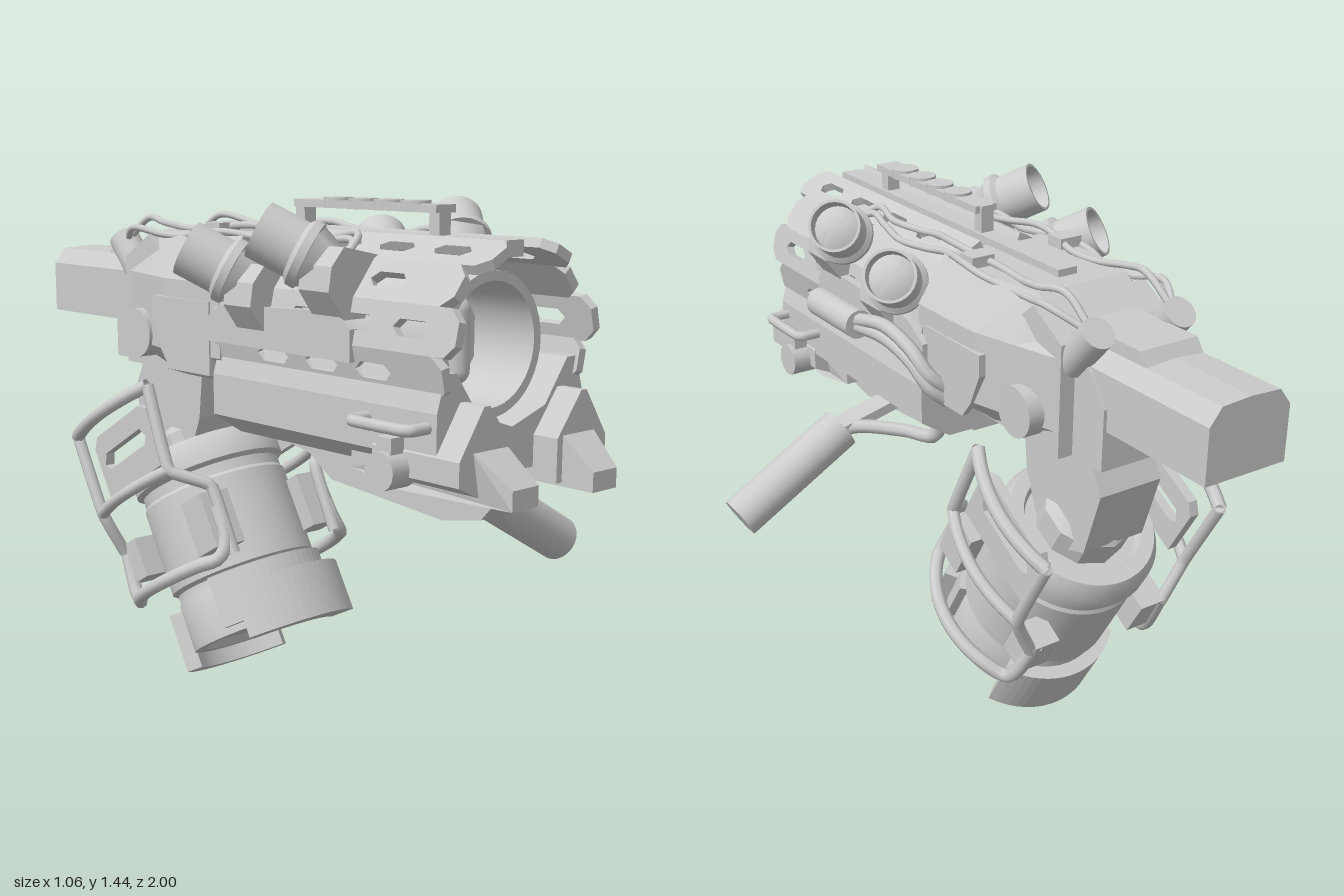
import * as THREE from 'three';
import { toCreasedNormals } from 'three/addons/utils/BufferGeometryUtils.js';

const V = (x, y, z) => new THREE.Vector3(x, y, z);
const mat = new THREE.MeshStandardMaterial({ color: 0xcccccc, side: THREE.DoubleSide });

const outline = pts => new THREE.Shape(pts.map(p => new THREE.Vector2(p[0], p[1])));
const symmetric = half => [...half, ...half.slice().reverse().filter(p => p[0] > 0).map(p => [-p[0], p[1]])];
const extrude = (shape, depth, steps = 1) => new THREE.ExtrudeGeometry(shape, { depth, steps, bevelEnabled: false, curveSegments: 10 });
// section in (x, y), run from z0 to z1
const alongZ = (pts, z0, z1, steps) => extrude(outline(pts), z1 - z0, steps).translate(0, 0, z0);
// side profile in (z, y), spanning x0 to x1
const alongX = (pts, x0, x1) => extrude(outline(pts), x1 - x0).rotateY(-Math.PI / 2).translate(x1, 0, 0);
const box = (w, h, d, x, y, z) => new THREE.BoxGeometry(w, h, d).translate(x, y, z);
const tube = (pts, r, seg = 24, tension = 0.5) =>
  new THREE.TubeGeometry(new THREE.CatmullRomCurve3(pts.map(p => V(...p)), false, 'catmullrom', tension), seg, r, 8);
const lathe = (pts, seg = 40) => toCreasedNormals(new THREE.LatheGeometry(pts.map(p => new THREE.Vector2(...p)), seg), 0.6);
// turn a +y geometry toward dir and move it to pos
const aim = (geo, dir, pos) => geo
  .applyQuaternion(new THREE.Quaternion().setFromUnitVectors(V(0, 1, 0), dir.clone().normalize()))
  .translate(pos.x, pos.y, pos.z);
const rod = (a, b, r, seg = 20) => {
  const d = b.clone().sub(a);
  return aim(new THREE.CylinderGeometry(r, r, d.length(), seg), d, a.clone().add(b).multiplyScalar(0.5));
};
const arcSlab = (r0, r1, mid, half, y0, y1) => {
  const s = new THREE.Shape();
  s.absarc(0, 0, r1, mid - half, mid + half, false);
  s.absarc(0, 0, r0, mid + half, mid - half, true);
  return extrude(s, y1 - y0).rotateX(-Math.PI / 2).translate(0, y0, 0);
};
// move every vertex by a rule
const reshape = (geo, rule) => {
  const p = geo.attributes.position;
  for (let i = 0; i < p.count; i++) p.setXYZ(i, ...rule(p.getX(i), p.getY(i), p.getZ(i)));
  geo.computeVertexNormals();
  return geo;
};

function mirrored(geo) {
  const g = (geo.index ? geo.toNonIndexed() : geo.clone()).scale(-1, 1, 1);
  for (const a of Object.values(g.attributes)) {
    const n = a.itemSize;
    for (let i = 0; i < a.count; i += 3) for (let k = 0; k < n; k++) {
      const p = (i + 1) * n + k, q = (i + 2) * n + k, t = a.array[p];
      a.array[p] = a.array[q]; a.array[q] = t;
    }
  }
  return g;
}

export function createModel() {
  const root = new THREE.Group();
  root.name = 'heavyLauncher';
  const body = new THREE.Group();
  body.name = 'body';
  body.position.x = -0.12;
  root.add(body);
  const add = (name, geo, parent = body) => {
    const m = new THREE.Mesh(geo, mat);
    m.name = name;
    parent.add(m);
  };
  const pair = (name, geo, parent) => { add(name + 'Left', geo, parent); add(name + 'Right', mirrored(geo), parent); };
  const axisY = 1.11;

  // slotted barrel shroud: four flat panels on each side
  [27, 52, 77, 102].forEach((deg, i) => {
    const a = THREE.MathUtils.degToRad(deg), front = i % 2 ? 0.84 : 0.88, w = 0.0577;
    const s = outline([[0, -w], [front - 0.03, -w], [front, -w + 0.03], [front, w - 0.03], [front - 0.03, w], [0, w]]);
    for (let z = 0.12 + (i % 2) * 0.06; z < front - 0.12; z += 0.185)
      s.holes.push(new THREE.Path([[0, 0], [0.02, -0.02], [0.1, -0.02], [0.12, 0], [0.1, 0.02], [0.02, 0.02]]
        .map(p => new THREE.Vector2(z + p[0], p[1]))));
    const R = V(Math.sin(a), Math.cos(a), 0), T = V(Math.cos(a), -Math.sin(a), 0);
    const m = new THREE.Matrix4().makeBasis(V(0, 0, 1), T, R).setPosition(R.x * 0.235, axisY + R.y * 0.235, 0);
    pair('shroudPanel' + i, extrude(s, 0.025).applyMatrix4(m));
  });

  // inner barrel, core and its long key
  add('innerBarrel', lathe([[0.155, 0], [0.18, 0], [0.18, 0.74], [0.155, 0.74], [0.155, 0]]).rotateX(Math.PI / 2).translate(0, axisY, 0.02));
  add('barrelCore', rod(V(0, axisY, 0), V(0, axisY, 0.56), 0.12, 32));
  add('coreKey', new THREE.CapsuleGeometry(0.036, 0.15, 6, 16).translate(0, axisY, 0.64));
  pair('coreCheek', alongZ([[0.03, 1.02], [0.06, 1.02], [0.09, 1.06], [0.09, 1.16], [0.06, 1.21], [0.03, 1.21]], 0.5, 0.62));

  // lower fore body with a trough, chamfered skirts and front prongs
  add('foreBody', alongZ(symmetric([[0, 0.81], [0.17, 0.81], [0.262, 0.87], [0.262, 0.98], [0.235, 1.07], [0.2, 1.07], [0.12, 0.96], [0, 0.92]]), 0, 0.83));
  pair('prongRoot', alongZ([[0.08, 0.78], [0.18, 0.78], [0.265, 0.82], [0.265, 0.88], [0.185, 1], [0.165, 1], [0.08, 0.89]], 0.62, 0.905));
  pair('prongTip', reshape(alongX([[0.5, 0.8], [0.66, 0.77], [1, 0.77], [1, 0.82], [0.9, 0.9], [0.5, 0.9]], 0.1, 0.22),
    (x, y, z) => [z > 0.95 && x > 0.15 ? 0.19 : x, y, z]));
  add('chinBlock', box(0.08, 0.13, 0.1, 0, 0.74, 0.66));
  add('underFin', alongX([[0.83, 0.735], [0.79, 0.69], [0.66, 0.665], [0.25, 0.7], [0.16, 0.76], [0.04, 0.78], [0.04, 0.82], [0.75, 0.82], [0.75, 0.735]], -0.06, 0.06));

  // side grip on a curved strap
  add('gripStrap', tube([[0.08, 0.8, 0.06], [0.09, 0.78, 0.15], [0.1, 0.71, 0.2], [0.13, 0.69, 0.32], [0.22, 0.68, 0.44], [0.29, 0.655, 0.48]], 0.022));
  add('gripArm', box(0.27, 0.03, 0.08, 0, 0, 0).rotateZ(-0.24).translate(0.16, 0.7, 0.48));
  add('sideGrip', rod(V(0.26, 0.67, 0.48), V(0.62, 0.46, 0.48), 0.065, 32));

  // guard rails and knobs on the fore body
  pair('guardRail', tube([[0.22, 0.945, 0.8], [0.31, 0.945, 0.8], [0.325, 0.945, 0.78], [0.325, 0.945, 0.62], [0.31, 0.945, 0.6], [0.24, 0.945, 0.6]], 0.015, 30, 0.2));
  pair('sideKnob', rod(V(0.24, 0.835, 0.7), V(0.32, 0.835, 0.7), 0.048, 16));
  pair('knobStem', box(0.05, 0.07, 0.05, 0.28, 0.88, 0.7));

  // receiver, narrowing to the rear
  add('receiver', reshape(alongZ(symmetric([[0, 0.94], [0.17, 0.94], [0.255, 1.02], [0.255, 1.22], [0.17, 1.345], [0, 1.345]]), -0.5, 0.02, 4),
    (x, y, z) => [x * (1 - Math.max(0, -z - 0.22) * 1.05), z < -0.45 ? Math.min(y, 1.27) : y, z]));
  add('receiverRear', alongX([[-0.16, 0.95], [-0.52, 0.95], [-0.52, 1.26], [-0.4, 1.33], [-0.25, 1.2]], -0.18, 0.18));
  add('receiverTail', alongX([[-0.5, 0.95], [-0.64, 0.95], [-0.64, 1.12], [-0.58, 1.2], [-0.5, 1.28]], -0.135, 0.135));
  pair('pivotDisc', rod(V(0.15, 1.05, -0.4), V(0.235, 1.05, -0.4), 0.07, 32));
  pair('receiverPlate', alongX([[-0.02, 0.97], [-0.2, 0.97], [-0.24, 1.02], [-0.28, 1.11], [-0.28, 1.17], [-0.02, 1.17]], 0.24, 0.26));
  pair('sideRib', alongX([[0.55, 1.15], [0.5, 1.19], [0.05, 1.17], [-0.03, 1.12], [-0.03, 1.07], [0.55, 1.07]], 0.25, 0.275));

  // stock
  add('stock', alongZ(symmetric([[0, 1.06], [0.125, 1.06], [0.125, 1.21], [0.09, 1.255], [0, 1.26]]), -1, -0.45));
  add('stockCollar', alongX([[-0.45, 1.06], [-0.7, 1.06], [-0.74, 1.25], [-0.71, 1.29], [-0.45, 1.29]], -0.09, 0.09));

  // four outward lamps on angled brackets
  const aimDir = V(0.54, 0.43, -0.64).normalize();
  [[0.305, 0], [0.01, -0.06]].forEach(([z, dy], i) => {
    const end = V(0.35, 1.38 + dy, z), n = 'lamp' + i;
    pair(n + 'Bracket', alongZ([[0.15, 1.32 + dy], [0.27, 1.345 + dy], [0.31, 1.3 + dy], [0.32, 1.24 + dy], [0.27, 1.17 + dy], [0.2, 1.17 + dy]], z + 0.11, z + 0.22));
    pair(n + 'Base', aim(new THREE.CylinderGeometry(0.088, 0.06, 0.07, 6).toNonIndexed(), aimDir, end.clone().addScaledVector(aimDir, -0.165)));
    const cup = lathe([[0, -0.14], [0.088, -0.14], [0.088, -0.118], [0.074, -0.105], [0.074, 0], [0.066, 0], [0.064, -0.05], [0.04, -0.035], [0, -0.03]], 28);
    pair(n, aim(cup, aimDir, end));
  });

  // hoses with an inline cylinder, on the left only
  add('hoseCylinder', rod(V(0.33, 1.11, 0.22), V(0.33, 1.11, 0.45), 0.042, 24));
  [0, 0.035].forEach((d, i) => add('hose' + i, tube([[0.33, 1.1 + d * 0.5, 0.25], [0.32, 1.11 + d, 0.1], [0.31, 1.08 + d, -0.02], [0.29, 1.02 + d, -0.08], [0.24, 0.97 + d, -0.1]], 0.02)));

  // top rail with round links
  add('topStrip', box(0.06, 0.04, 1.13, 0, 1.345, 0.26));
  add('railBar', box(0.07, 0.02, 0.53, 0, 1.43, 0.335));
  for (const z of [0.08, 0.58]) add('railPost', box(0.04, 0.13, 0.035, 0, 1.375, z));
  for (let k = 0; k < 4; k++) add('railLink', new THREE.CylinderGeometry(0.04, 0.04, 0.028, 16).translate(0, 1.434, 0.21 + k * 0.095));

  // rear plugs and the cables running forward from them
  pair('cablePlug', rod(V(0.13, 1.2, -0.5), V(0.13, 1.31, -0.6), 0.045, 20));
  for (const [k, off] of [[0, 0], [1, 0.04]]) {
    const pts = [[0.13, 1.3, -0.58]];
    for (let j = 0; j <= 9; j++)
      pts.push([0.13 + off + 0.014 * Math.sin(j * 1.7 + k * 2), 1.36 - off * 0.5 + 0.012 * Math.cos(j * 1.3 + k), -0.47 + j * 0.1]);
    pts.push([0.22, 1.31, 0.47]);
    pair('cable' + k, tube(pts, 0.01, 70));
  }
  pair('cableClip', box(0.07, 0.03, 0.06, 0.145, 1.36, -0.1));

  // neck carrying the canister
  add('canisterNeck', alongX([[-0.26, 0.97], [-0.54, 0.97], [-0.6, 0.85], [-0.54, 0.66], [-0.36, 0.6], [-0.28, 0.8]], -0.1, 0.1));

  // tilted canister, in its own upright frame with z toward the front
  const can = new THREE.Group();
  can.name = 'canister';
  can.position.set(0, 0.17, -0.12);
  can.rotation.x = -Math.PI / 6;
  body.add(can);
  add('canisterShell', lathe([[0, 0.02], [0.155, 0.02], [0.175, 0], [0.21, 0], [0.21, 0.14], [0.205, 0.15], [0.205, 0.17], [0.22, 0.18], [0.22, 0.44],
    [0.213, 0.45], [0.213, 0.48], [0.23, 0.49], [0.23, 0.54], [0.21, 0.575], [0.17, 0.575], [0.16, 0.55], [0, 0.55]], 48), can);
  add('canisterCap', lathe([[0.13, 0.54], [0.13, 0.63], [0.1, 0.66], [0, 0.66]], 10), can);
  add('frontLip', arcSlab(0.205, 0.275, -Math.PI / 2, 0.8, -0.035, 0.12), can);
  add('frontLipPanel', arcSlab(0.2, 0.235, -Math.PI / 2, 1.1, 0.02, 0.17), can);
  add('rearLip', arcSlab(0.205, 0.25, Math.PI / 2, 0.87, -0.045, 0.13), can);

  // tube cage around each side: gently bowed upper frame, round lower loop
  const run = (z0, z1, y, reach) => Array.from({ length: 9 }, (_, i) => {
    const z = z0 + (z1 - z0) * i / 8;
    return [reach(z), y, z];
  });
  const flat = z => 0.325 - z * z * 1.1, round = z => Math.sqrt(0.1 - z * z);
  pair('cageTop', tube(run(0.22, -0.17, 0.73, flat), 0.02), can);
  pair('cageMiddle', tube(run(0.2, -0.175, 0.48, flat), 0.018), can);
  pair('cageLower', tube([[0.195, 0.34, 0.24], [0.2, 0.25, 0.24], ...run(0.22, -0.2, 0.2, round), [0.235, 0.25, -0.22], [0.22, 0.38, -0.22]], 0.02, 50), can);
  pair('cageFrontPost', tube([[flat(0.22), 0.73, 0.22], [flat(0.2), 0.48, 0.2], [0.195, 0.4, 0.25], [0.19, 0.2, 0.24]], 0.018, 30, 0.15), can);
  pair('cageRearPost', tube([[flat(0.17), 0.73, -0.17], [flat(0.175), 0.48, -0.175], [0.23, 0.36, -0.22]], 0.018, 24, 0.2), can);
  pair('frontClamp', box(0.1, 0.16, 0.1, 0.18, 0.31, 0.18), can);
  pair('rearClamp', box(0.09, 0.12, 0.09, 0.19, 0.32, -0.185), can);
  // slotted plate inside the upper cage
  const plate = outline([[-0.14, 0.51], [0.17, 0.51], [0.17, 0.68], [0.14, 0.7], [-0.11, 0.7], [-0.14, 0.67]]);
  plate.holes.push(new THREE.Path([[-0.09, 0.59], [0.11, 0.59], [0.13, 0.61], [0.11, 0.64], [-0.09, 0.64], [-0.11, 0.61]].map(q => new THREE.Vector2(...q))));
  pair('cagePlate', extrude(plate, 0.03).rotateY(-Math.PI / 2).translate(0.27, 0, 0), can);

  return root;
}
